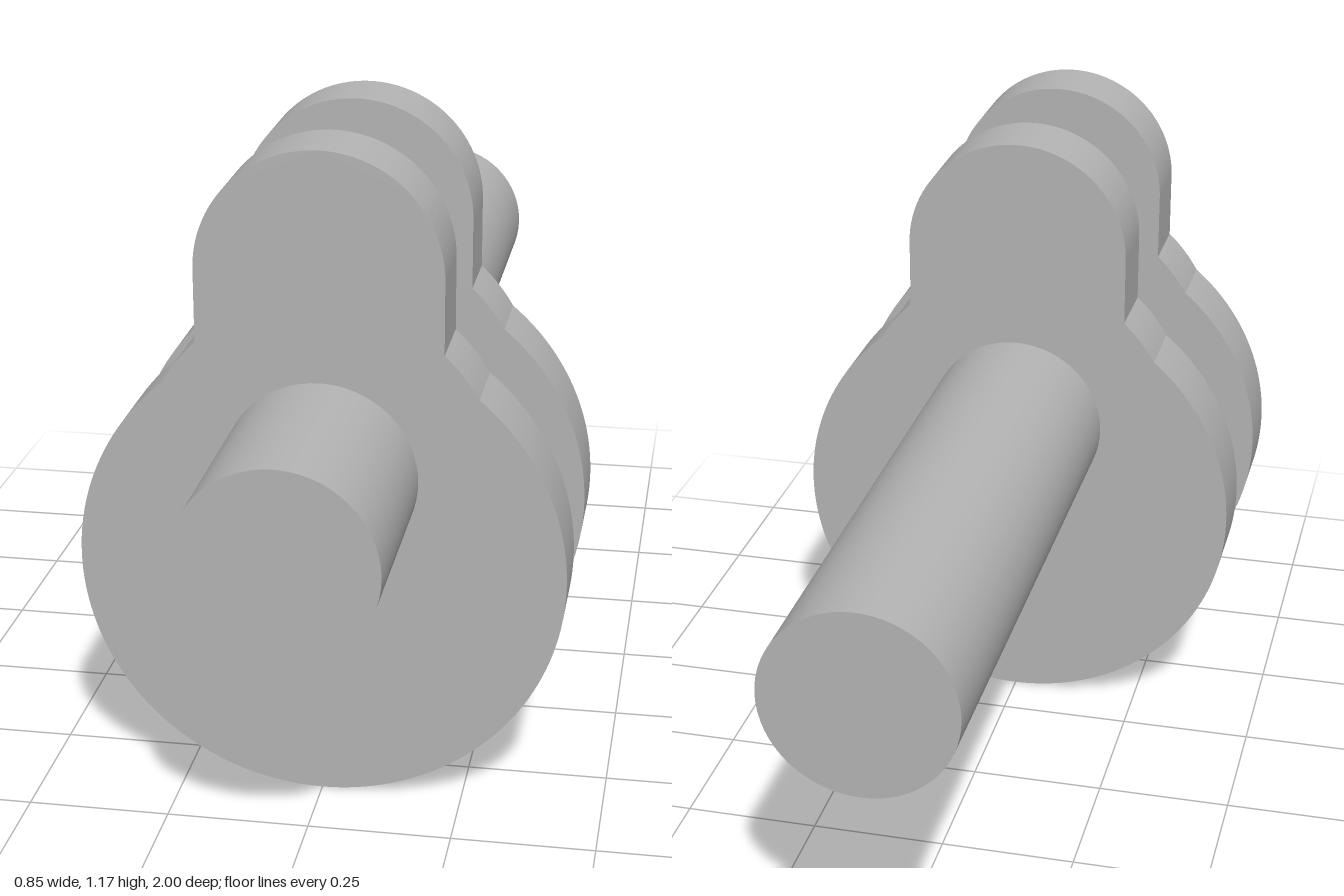
import * as THREE from 'three';
import { toCreasedNormals } from 'three/addons/utils/BufferGeometryUtils.js';

export function createModel() {
  const model = new THREE.Group();
  model.name = 'crankshaft';
  const steel = new THREE.MeshStandardMaterial({ color: 0xb4b4b4 });
  steel.name = 'grey steel';

  const shaftY = 0.6, shaftR = 0.17;
  const headY = 0.96, headR = 0.213;
  const hubR = 0.314;
  const weightR = 0.427; // counterweight circle, resting on y = 0

  // Crank web outline: round head, hub shoulders and counterweight
  const meetY = (shaftY ** 2 - hubR ** 2) / (2 * (shaftY - weightR));
  const meetX = Math.sqrt(hubR ** 2 - (meetY - shaftY) ** 2);
  const hubLow = Math.atan2(meetY - shaftY, meetX);
  const hubHigh = Math.acos(headR / hubR);
  const weightTop = Math.atan2(meetY - weightR, meetX);
  const outline = new THREE.Shape();
  outline.absarc(0, headY, headR, 0, Math.PI);
  outline.absarc(0, shaftY, hubR, Math.PI - hubHigh, Math.PI - hubLow);
  outline.absarc(0, weightR, weightR, Math.PI - weightTop, 2 * Math.PI + weightTop);
  outline.absarc(0, shaftY, hubR, hubLow, hubHigh);
  outline.closePath();

  function addWeb(name, zBack, zFront) {
    const geometry = new THREE.ExtrudeGeometry(outline, {
      depth: zFront - zBack, bevelEnabled: false, curveSegments: 64,
    });
    const web = new THREE.Mesh(toCreasedNormals(geometry, 0.25), steel);
    web.name = name;
    web.position.z = zBack;
    model.add(web);
  }

  function addShaft(name, zBack, zFront) {
    const geometry = new THREE.CylinderGeometry(shaftR, shaftR, zFront - zBack, 64);
    geometry.rotateX(Math.PI / 2);
    const shaft = new THREE.Mesh(geometry, steel);
    shaft.name = name;
    shaft.position.set(0, shaftY, (zBack + zFront) / 2);
    model.add(shaft);
  }

  // Two webs with an open gap between them, and a shaft on each outer side
  addWeb('frontWeb', 0.471, 0.612);
  addWeb('rearWeb', 0.1, 0.241);
  addShaft('frontShaft', 0.612, 1);
  addShaft('rearShaft', -1, 0.1);

  return model;
}
